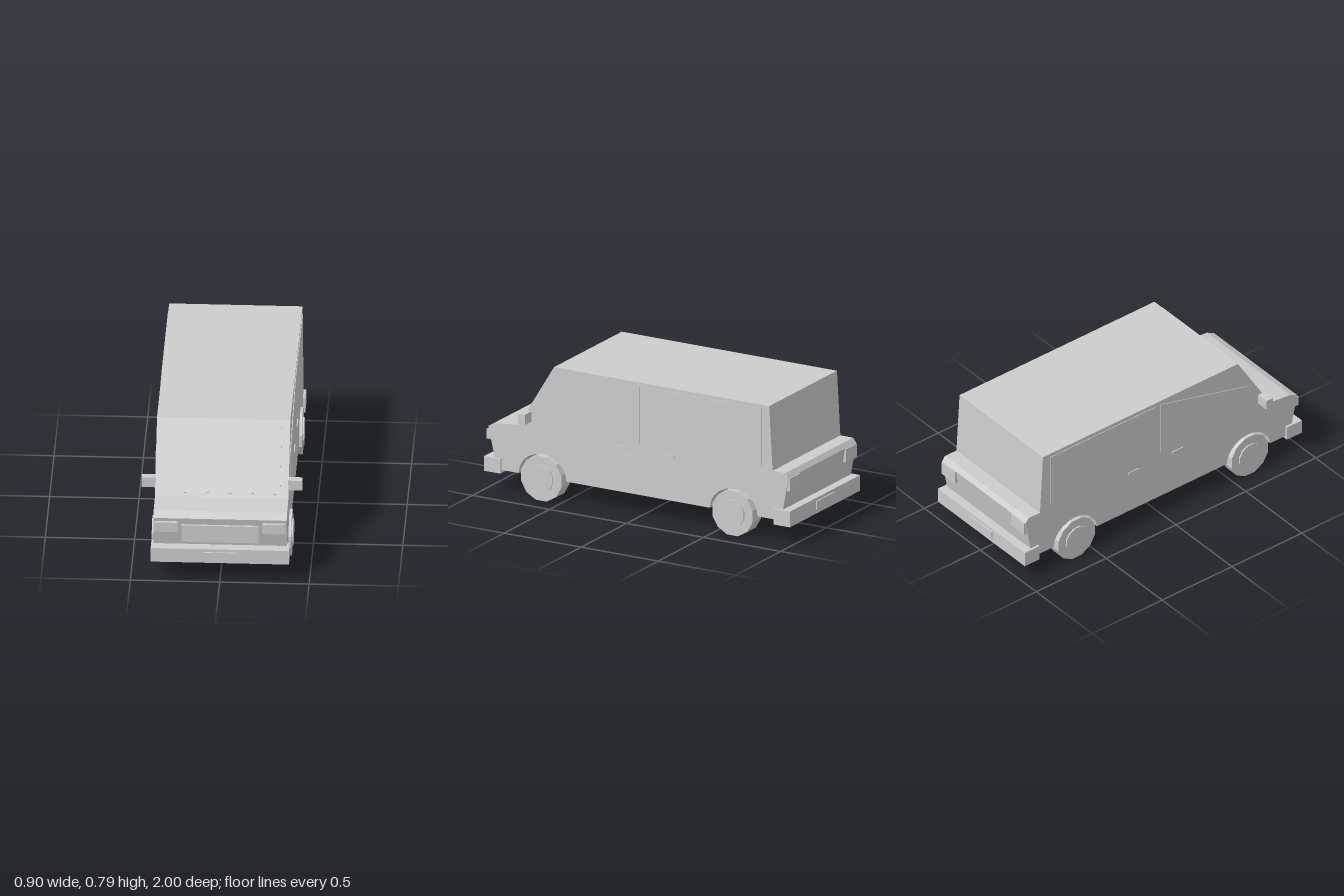
import * as THREE from 'three';

export function createModel() {
  const van = new THREE.Group();
  const grey = new THREE.MeshStandardMaterial({ color: 0xcccccc, flatShading: true });
  grey.name = 'light grey';
  const halfWidth = 0.373, axleZ = 0.62, axleY = 0.13;

  function add(name, geometry) {
    const mesh = new THREE.Mesh(geometry, grey);
    mesh.name = name;
    van.add(mesh);
    return mesh;
  }
  // Box given by its limits on each axis
  function box(name, x0, x1, y0, y1, z0, z1) {
    const g = new THREE.BoxGeometry(x1 - x0, y1 - y0, z1 - z0);
    return add(name, g.translate((x0 + x1) / 2, (y0 + y1) / 2, (z0 + z1) / 2));
  }
  // Side outline of [z, y] points, extruded across x from x0 to x1
  function slab(name, points, x0, x1) {
    const shape = new THREE.Shape(points.map(([z, y]) => new THREE.Vector2(z, y)));
    const g = new THREE.ExtrudeGeometry(shape, { depth: x1 - x0, bevelEnabled: false });
    return add(name, g.rotateY(-Math.PI / 2).translate(x1, 0, 0));
  }
  // Wheel arch, running from rear to front
  function arch(z) {
    const points = [];
    for (let i = 0; i <= 10; i++) {
      const a = Math.PI * (1 - i / 10);
      points.push([z + 0.155 * Math.cos(a), 0.133 + 0.136 * Math.sin(a)]);
    }
    return points;
  }

  // Body shell with open wheel arches
  slab('body', [
    [-0.93, 0.133], ...arch(-axleZ), ...arch(axleZ), [0.915, 0.133],
    [0.93, 0.2], [0.97, 0.378], [0.92, 0.402], [0.775, 0.417],
    [0.545, 0.793], [-0.85, 0.793], [-0.872, 0.417],
    [-0.955, 0.417], [-0.975, 0.39], [-0.94, 0.2],
  ], -halfWidth, halfWidth);

  // Windscreen plate lying on the sloping front
  const slopeZ = (y) => 0.545 + (0.23 * (0.793 - y)) / 0.376;
  slab('windscreen', [
    [slopeZ(0.437), 0.437], [slopeZ(0.437) + 0.007, 0.441],
    [slopeZ(0.77) + 0.005, 0.773], [slopeZ(0.77), 0.77],
  ], -0.326, 0.326);

  // Bumpers, number plates and grille
  box('frontBumper', -0.387, 0.387, 0.115, 0.2, 0.885, 0.992);
  box('frontPlate', -0.1, 0.1, 0.133, 0.182, 0.99, 1);
  box('rearBumper', -0.387, 0.387, 0.108, 0.2, -0.992, -0.885);
  box('rearPlate', -0.1, 0.1, 0.133, 0.182, -1, -0.99);
  box('grille', -0.215, 0.215, 0.235, 0.338, 0.93, 0.975);

  for (const side of [1, -1]) {
    const label = side > 0 ? 'left' : 'right';
    const span = (a, b) => (side > 0 ? [a, b] : [-b, -a]);

    // Lamps, mirror and door handles
    box(label + 'Headlight', ...span(0.237, 0.367), 0.3, 0.358, 0.94, 0.985);
    box(label + 'TailLight', ...span(0.25, 0.367), 0.31, 0.388, -0.982, -0.945);
    box(label + 'Mirror', ...span(0.37, 0.449), 0.45, 0.51, 0.69, 0.735);
    box(label + 'FrontHandle', ...span(0.37, 0.379), 0.387, 0.401, 0.075, 0.15);
    box(label + 'RearHandle', ...span(0.37, 0.379), 0.387, 0.401, -0.24, -0.165);

    // Side windows
    slab(label + 'FrontWindow',
      [[-0.012, 0.437], [0.615, 0.437], [0.615, 0.607], [-0.012, 0.77]], ...span(0.37, 0.377));
    slab(label + 'RearWindow',
      [[-0.8, 0.437], [-0.04, 0.437], [-0.04, 0.77], [-0.8, 0.77]], ...span(0.37, 0.377));

    // Twelve-sided wheels standing on a flat facet, with hubcaps
    for (const [end, z] of [['Front', axleZ], ['Rear', -axleZ]]) {
      const disc = (name, radius, x0, x1) => {
        const g = new THREE.CylinderGeometry(radius, radius, x1 - x0, 12);
        g.rotateY(Math.PI / 12).rotateZ(Math.PI / 2);
        add(name, g.translate((side * (x0 + x1)) / 2, axleY, z));
      };
      disc(label + end + 'Wheel', axleY / Math.cos(Math.PI / 12), 0.293, 0.387);
      disc(label + end + 'Hubcap', 0.08, 0.38, 0.395);
    }
  }
  return van;
}
